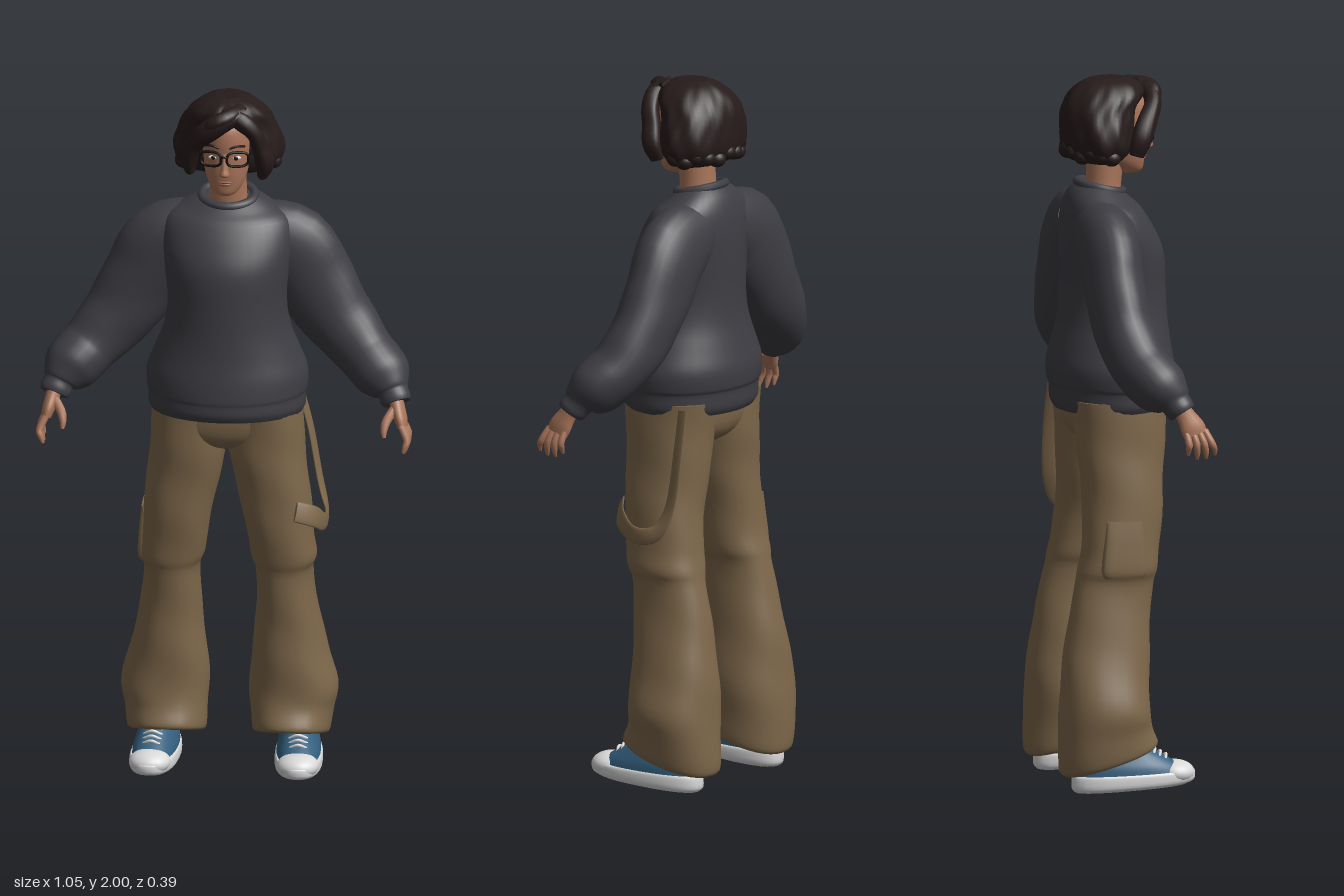
import * as THREE from 'three';

const paint = (name, color) => {
  const m = new THREE.MeshStandardMaterial({ color });
  m.name = name;
  return m;
};
const skin = paint('skin', 0xa87459), knit = paint('charcoalKnit', 0x3d3d43), canvas = paint('brownCanvas', 0x7d674a);
const hairMat = paint('darkHair', 0x271b1b), blue = paint('blueCanvas', 0x34607f), white = paint('whiteRubber', 0xd9d9d9);
const black = paint('blackFrame', 0x101011), lipMat = paint('lip', 0x8c5546);

const mix = (a, b, c, d, t) => 0.5 * (2 * b + (c - a) * t + (2 * a - 5 * b + 4 * c - d) * t * t + (3 * b - a - 3 * c + d) * t * t * t);

// Smooth skin over rings [x, y, z, radiusU, radiusV, tilt]; V leans towards ref, flow turns rings along the path
function loft(rings, { seg = 28, sub = 4, flow = false, ref = [0, 0, 1], power = 2, wave = () => 1 } = {}) {
  const rows = [], n = rings.length;
  for (let i = 0; i < n - 1; i++) {
    const q = [-1, 0, 1, 2].map(k => rings[Math.min(n - 1, Math.max(0, i + k))]);
    for (let s = 0; s < sub + (i === n - 2 ? 1 : 0); s++) {
      rows.push([0, 1, 2, 3, 4, 5].map(k => mix(...q.map(r => r[k] || 0), s / sub)));
    }
  }
  const mids = rows.map(r => new THREE.Vector3(r[0], r[1], r[2]));
  const pos = [], idx = [];
  const bend = v => Math.sign(v) * Math.pow(Math.abs(v), 2 / power);
  const addRow = (i, scale) => {
    const T = flow ? mids[Math.min(i + 1, mids.length - 1)].clone().sub(mids[Math.max(i - 1, 0)]).normalize() : new THREE.Vector3(0, 1, 0);
    const V = new THREE.Vector3(...ref);
    V.addScaledVector(T, -V.dot(T)).normalize();
    const U = V.clone().cross(T);
    for (let j = 0; j < seg; j++) {
      const a = j / seg * Math.PI * 2, c = bend(Math.cos(a)), s = bend(Math.sin(a));
      const w = wave(a, rows[i][1]) * scale;
      const p = mids[i].clone().addScaledVector(U, c * rows[i][3] * w).addScaledVector(V, s * rows[i][4] * w);
      pos.push(p.x, p.y + rows[i][5] * s * scale, p.z);
    }
  };
  const last = rows.length - 1;
  addRow(0, 0);
  addRow(0, 1);
  rows.forEach((_, i) => addRow(i, 1));
  addRow(last, 1);
  addRow(last, 0);
  for (let i = 0; i < rows.length + 3; i++) for (let j = 0; j < seg; j++) {
    const k = (j + 1) % seg, a = i * seg + j, b = i * seg + k;
    idx.push(a, b, a + seg, b, b + seg, a + seg);
  }
  const g = new THREE.BufferGeometry();
  g.setAttribute('position', new THREE.Float32BufferAttribute(pos, 3));
  g.setIndex(idx);
  g.computeVertexNormals();
  return g;
}

// Upright section given by [height, halfWidth, front z, back z, tilt]
const upright = (list, x = 0) => list.map(([y, rx, f, b, tilt = 0]) => [x, y, (f + b) / 2, rx, (f - b) / 2, tilt]);

function tube(points, radius, closed = false, steps = 32) {
  const curve = new THREE.CatmullRomCurve3(points.map(p => new THREE.Vector3(...p)), closed);
  return new THREE.TubeGeometry(curve, steps, radius, 8, closed);
}

function ball(x, y, z, rx, ry, rz) {
  return new THREE.SphereGeometry(1, 20, 14).scale(rx, ry, rz).translate(x, y, z);
}

export function createModel() {
  const model = new THREE.Group();
  model.name = 'standingFigure';
  const add = (name, geometry, material, parent = model) => {
    const mesh = new THREE.Mesh(geometry, material);
    mesh.name = name;
    parent.add(mesh);
    return mesh;
  };

  // Sweater body and collar
  add('sweaterBody', loft(upright([
    [1.07, 0.213, 0.18, -0.15, 0.008], [1.09, 0.221, 0.188, -0.16, 0.008], [1.125, 0.221, 0.187, -0.162], [1.14, 0.226, 0.188, -0.168],
    [1.19, 0.226, 0.182, -0.17], [1.25, 0.203, 0.172, -0.157], [1.32, 0.177, 0.165, -0.142], [1.4, 0.168, 0.161, -0.136],
    [1.5, 0.178, 0.154, -0.136], [1.57, 0.186, 0.125, -0.134], [1.63, 0.175, 0.087, -0.126], [1.665, 0.125, 0.06, -0.11, -0.01],
    [1.69, 0.083, 0.038, -0.085, -0.014]]), { seg: 40 }), knit);
  const neckline = Array.from({ length: 16 }, (_, i) => {
    const a = i / 8 * Math.PI;
    return [0.074 * Math.cos(a), 1.687 - 0.014 * Math.sin(a), -0.024 + 0.062 * Math.sin(a)];
  });
  add('collar', tube(neckline, 0.013, true, 48), knit);

  for (const s of [1, -1]) {
    const side = s > 0 ? 'left' : 'right';
    const flip = list => list.map(([x, ...r]) => [s * x, ...r]);

    // Sleeve with puffed end and cuff
    add(side + 'Sleeve', loft(flip([
      [0.07, 1.575, -0.045, 0.095, 0.08], [0.17, 1.53, -0.046, 0.125, 0.085], [0.235, 1.435, -0.048, 0.118, 0.083],
      [0.295, 1.34, -0.042, 0.105, 0.082], [0.345, 1.28, -0.03, 0.094, 0.083], [0.385, 1.235, -0.012, 0.084, 0.081],
      [0.415, 1.206, 0.01, 0.083, 0.081], [0.443, 1.18, 0.034, 0.078, 0.075], [0.463, 1.157, 0.055, 0.058, 0.055],
      [0.47, 1.146, 0.062, 0.044, 0.044], [0.478, 1.128, 0.074, 0.044, 0.042], [0.482, 1.118, 0.08, 0.04, 0.038]]),
      { flow: true, wave: (a, y) => 1 + 0.012 * Math.sin(3 * a + y * 50) }), knit);

    // Hand with four fingers and a thumb
    const hand = new THREE.Group();
    hand.name = side + 'Hand';
    model.add(hand);
    add('palm', loft(flip([[0.476, 1.14, 0.07, 0.022, 0.026], [0.485, 1.11, 0.088, 0.02, 0.028], [0.495, 1.08, 0.104, 0.018, 0.036],
      [0.501, 1.058, 0.112, 0.014, 0.035]]), { flow: true, seg: 16 }), skin, hand);
    for (let i = 0; i < 4; i++) {
      const z = 0.085 + 0.018 * i, drop = [0.012, 0, 0, 0.01][i];
      add('finger', loft(flip([[0.499, 1.07, z, 0.01, 0.01], [0.516, 1.035, z + 0.004 + 0.004 * i, 0.01, 0.01],
        [0.512, 1.008 + drop, z + 0.004 + 0.007 * i, 0.008, 0.008], [0.506, 0.99 + drop, z + 0.004 + 0.008 * i, 0.004, 0.004]]),
        { flow: true, seg: 10, sub: 3 }), skin, hand);
    }
    add('thumb', loft(flip([[0.482, 1.112, 0.095, 0.014, 0.014], [0.458, 1.082, 0.125, 0.013, 0.013], [0.451, 1.058, 0.142, 0.01, 0.01],
      [0.452, 1.038, 0.152, 0.005, 0.005]]), { flow: true, seg: 10, sub: 3 }), skin, hand);

    // Baggy trouser leg: [outer x, inner x, y, front z, back z, tilt]
    const leg = [[0.278, 0.07, 0.085, 0.085, -0.18, 0.04], [0.286, 0.064, 0.1, 0.092, -0.19, 0.038], [0.295, 0.06, 0.16, 0.072, -0.19, 0.02],
      [0.304, 0.056, 0.23, 0.065, -0.188], [0.279, 0.064, 0.33, 0.067, -0.181], [0.252, 0.076, 0.45, 0.071, -0.165],
      [0.237, 0.079, 0.58, 0.082, -0.138], [0.248, 0.066, 0.625, 0.094, -0.13], [0.243, 0.058, 0.68, 0.102, -0.118],
      [0.237, 0.042, 0.77, 0.113, -0.11], [0.225, 0.018, 0.88, 0.121, -0.112], [0.216, 0, 0.98, 0.13, -0.12], [0.21, 0, 1.1, 0.138, -0.13]];
    add(side + 'TrouserLeg', loft(leg.map(([o, i, y, f, b, t = 0]) => [s * (o + i) / 2, y, (f + b) / 2, (o - i) / 2, (f - b) / 2, t]),
      { power: 2.25, seg: 32, wave: (a, y) => 1 + 0.012 * Math.sin(2 * a + y * 32 + s) }), canvas);

    // Sneaker, toes turned slightly outwards
    const shoe = new THREE.Group();
    shoe.name = side + 'Sneaker';
    shoe.position.x = s * 0.2;
    shoe.rotation.y = s * 0.06;
    model.add(shoe);
    add('sole', loft(upright([[0.008, 0.058, 0.165, -0.15, 0.008], [0.02, 0.067, 0.19, -0.16, 0.008], [0.045, 0.067, 0.193, -0.16, 0.005],
      [0.052, 0.063, 0.188, -0.156, 0.004]]), { power: 2.4, sub: 3 }), white, shoe);
    add('upper', loft(upright([[0.045, 0.063, 0.175, -0.154], [0.07, 0.06, 0.15, -0.15], [0.095, 0.052, 0.108, -0.146],
      [0.12, 0.045, 0.062, -0.14], [0.15, 0.04, 0.03, -0.13]]), { power: 2.3 }), blue, shoe);
    add('toeCap', ball(0, 0.048, 0.134, 0.059, 0.035, 0.057), white, shoe);
    for (let i = 0; i < 4; i++) {
      const z = 0.107 - i * 0.016, y = 0.1 + i * 0.009, w = 0.025;
      add('lace', tube([[-w, y - 0.013, z - 0.006], [0, y, z + 0.003], [w, y - 0.013, z - 0.006]], 0.0045, false, 10), white, shoe);
    }

    // Eyes and brows
    add(side + 'Eye', ball(s * 0.032, 1.842, 0.1, 0.014, 0.006, 0.007), white);
    add(side + 'Iris', ball(s * 0.032, 1.842, 0.105, 0.006, 0.006, 0.004), black);
    add(side + 'Brow', tube([[s * 0.014, 1.872, 0.111], [s * 0.035, 1.878, 0.106], [s * 0.055, 1.872, 0.086]], 0.0035, false, 12), hairMat);

    // Spectacle rim and temple
    const rim = Array.from({ length: 16 }, (_, i) => {
      const a = i / 8 * Math.PI, c = Math.cos(a), d = Math.sin(a);
      const sq = v => Math.sign(v) * Math.pow(Math.abs(v), 0.7);
      return [s * (0.038 + 0.03 * sq(c)), 1.844 + 0.021 * sq(d), 0.119 - 0.008 * c];
    });
    add(side + 'SpectacleRim', tube(rim, 0.0038, true, 40), black);
    add(side + 'SpectacleTemple', tube([[s * 0.068, 1.852, 0.111], [s * 0.076, 1.852, 0.07], [s * 0.076, 1.85, 0]], 0.0035, false, 10), black);
  }

  // Trouser seat joining the legs
  add('trouserSeat', loft(upright([[0.955, 0.045, 0.05, -0.05], [0.985, 0.12, 0.11, -0.1], [1.03, 0.2, 0.133, -0.123], [1.11, 0.205, 0.138, -0.13]]),
    { power: 2.4 }), canvas);
  // Hanging strap on the left hip
  add('hipStrap', loft([[0.195, 1.09, -0.1, 0.02, 0.004], [0.225, 0.97, -0.104, 0.02, 0.004], [0.25, 0.83, -0.098, 0.021, 0.004],
    [0.27, 0.755, -0.07, 0.023, 0.005], [0.276, 0.733, -0.02, 0.024, 0.005], [0.27, 0.74, 0.03, 0.026, 0.005],
    [0.25, 0.77, 0.075, 0.03, 0.005], [0.2, 0.795, 0.108, 0.03, 0.005]], { flow: true, ref: [1, 0, 0.3], seg: 12 }), canvas);
  // Cargo pocket on the right thigh
  add('cargoPocket', loft(upright([[0.61, 0.014, 0.035, -0.075], [0.635, 0.02, 0.045, -0.085], [0.72, 0.014, 0.04, -0.075], [0.77, 0.008, 0.035, -0.07]], -0.233),
    { power: 3.5, seg: 20 }), canvas);

  // Neck, head, nose and mouth
  add('neck', loft(upright([[1.63, 0.066, 0.03, -0.075], [1.69, 0.054, 0.036, -0.064], [1.78, 0.052, 0.045, -0.06]])), skin);
  add('head', loft(upright([[1.722, 0.018, 0.088, 0.035], [1.732, 0.034, 0.099, 0.02], [1.755, 0.05, 0.103, -0.01], [1.79, 0.062, 0.108, -0.05],
    [1.84, 0.07, 0.11, -0.08], [1.89, 0.071, 0.114, -0.09], [1.93, 0.065, 0.106, -0.085], [1.965, 0.04, 0.07, -0.06]]), { power: 2.15 }), skin);
  add('nose', loft(upright([[1.786, 0.009, 0.115, 0.095], [1.795, 0.015, 0.131, 0.095], [1.815, 0.01, 0.125, 0.095], [1.855, 0.007, 0.114, 0.095]]),
    { seg: 14 }), skin);
  add('upperLip', ball(0, 1.769, 0.103, 0.021, 0.004, 0.007), lipMat);
  add('lowerLip', ball(0, 1.762, 0.102, 0.017, 0.005, 0.007), lipMat);
  add('spectacleBridge', tube([[-0.009, 1.85, 0.127], [0, 1.853, 0.13], [0.009, 1.85, 0.127]], 0.0035, false, 8), black);

  // Wavy bobbed hair
  add('hairBob', loft(upright([[1.765, 0.108, 0.02, -0.09], [1.78, 0.135, 0.045, -0.115], [1.815, 0.155, 0.062, -0.13], [1.86, 0.152, 0.066, -0.132],
    [1.91, 0.132, 0.075, -0.128], [1.95, 0.109, 0.098, -0.11], [1.98, 0.075, 0.086, -0.08], [1.996, 0.035, 0.045, -0.045]]),
    { seg: 72, wave: (a, y) => 1 + 0.018 * Math.sin(9 * a + 30 * y) + 0.012 * Math.sin(17 * a - 55 * y) }), hairMat);
  const locks = [
    [[0.05, 1.965, 0.08, 0.02, 0.025], [0, 1.955, 0.115, 0.029, 0.026], [-0.045, 1.925, 0.118, 0.031, 0.024],
      [-0.085, 1.88, 0.09, 0.025, 0.028], [-0.102, 1.83, 0.068, 0.026, 0.03], [-0.1, 1.785, 0.055, 0.015, 0.022]],
    [[0, 1.972, 0.075, 0.02, 0.022], [0.045, 1.952, 0.1, 0.026, 0.025], [0.082, 1.915, 0.093, 0.022, 0.026],
      [0.097, 1.87, 0.078, 0.023, 0.028], [0.11, 1.82, 0.066, 0.027, 0.03], [0.102, 1.775, 0.055, 0.014, 0.022]],
    [[0.04, 1.975, 0.06, 0.015, 0.02], [0.012, 1.967, 0.112, 0.021, 0.024], [-0.03, 1.95, 0.125, 0.022, 0.022], [-0.075, 1.91, 0.1, 0.012, 0.014]]];
  locks.forEach(path => add('hairLock', loft(path, { flow: true, seg: 20, wave: a => 1 + 0.04 * Math.sin(5 * a) }), hairMat));
  // Curled ends around the nape and sides
  for (let i = 0; i < 11; i++) {
    const a = Math.PI * (1 + i / 10), c = Math.cos(a), d = Math.sin(a);
    add('hairCurl', ball(0.125 * c, 1.787 + 0.007 * (i % 3), -0.025 + 0.085 * d, 0.026, 0.024, 0.026), hairMat);
  }
  return model;
}
